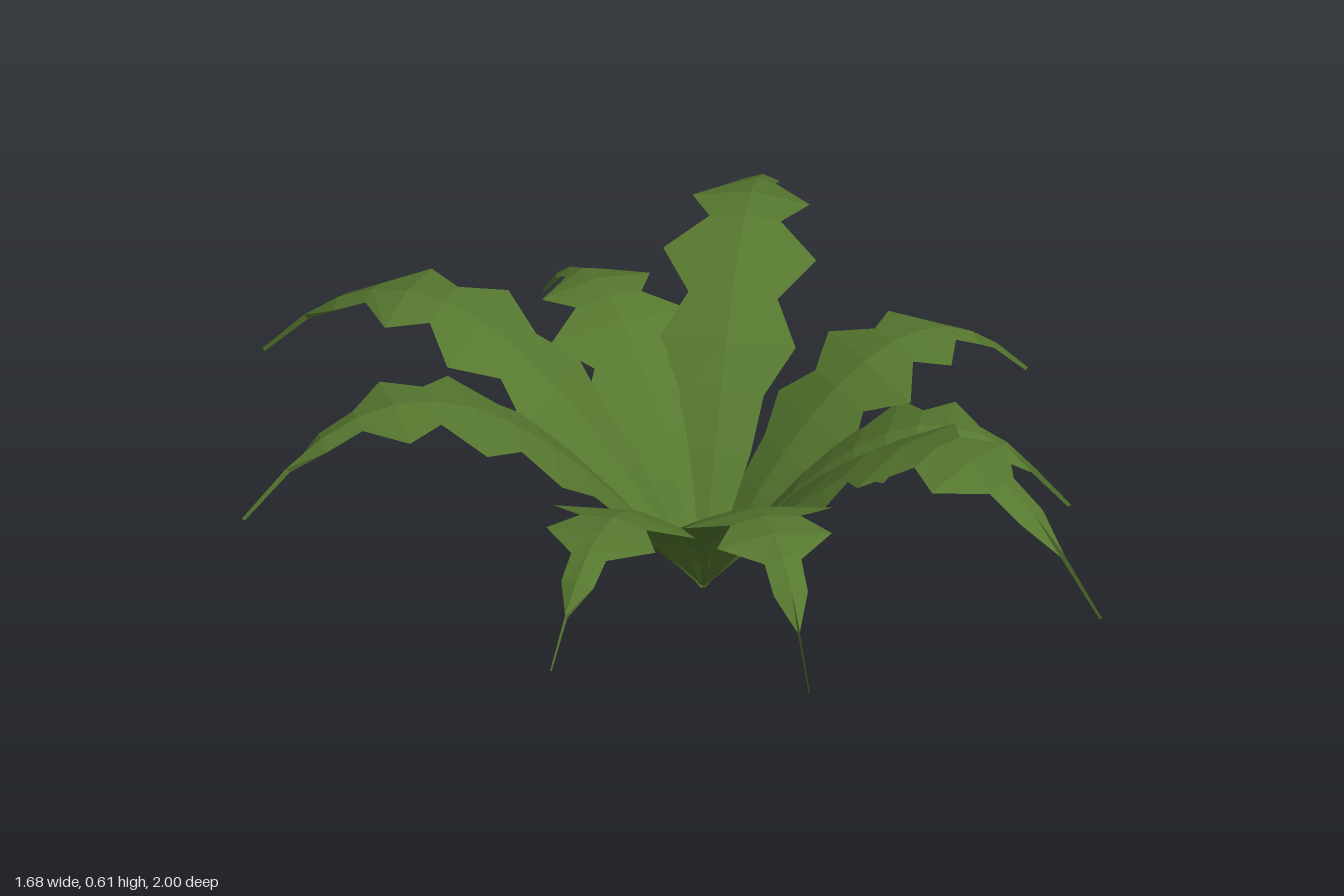
import * as THREE from 'three';

// Midrib rows for a leaf of reach 1: [distance out, height, half width, edge droop]
// Half widths are absolute, so short leaves are relatively broader.
const ROWS = [
  [0, 0, 0.008, 0.001],
  [0.09, 0.13, 0.045, 0.006],
  [0.17, 0.235, 0.075, 0.010],
  [0.25, 0.33, 0.09, 0.012],
  [0.33, 0.408, 0.145, 0.020],
  [0.41, 0.475, 0.095, 0.014],
  [0.5, 0.53, 0.163, 0.024],
  [0.585, 0.56, 0.076, 0.012],
  [0.67, 0.564, 0.125, 0.020],
  [0.752, 0.546, 0.04, 0.010],
  [0.83, 0.505, 0.037, 0.012],
  [0.905, 0.443, 0.002, 0.012],
  [1, 0.335, 0.001, 0.008],
];

const ROOT = new THREE.Vector3(0.045, 0, -0.075);

// Leaf tips on the ground plane: x, z
const TIPS = [
  [0.19, 1.0], [0.55, 0.52], [0.838, 0.08], [0.83, -0.69], [0.3, -0.84],
  [-0.36, -1.0], [-0.84, -0.55], [-0.7, 0.25], [-0.4, 0.73],
];

// A toothed, arching blade folded along its midrib
function leafGeometry(tipX, tipZ) {
  const out = new THREE.Vector3(tipX - ROOT.x, 0, tipZ - ROOT.z);
  const reach = out.length();
  out.normalize();
  const side = new THREE.Vector3(out.z, 0, -out.x);

  const positions = [];
  const index = [];
  ROWS.forEach(([s, h, width, droop], i) => {
    const a = ROWS[Math.max(i - 1, 0)];
    const b = ROWS[Math.min(i + 1, ROWS.length - 1)];
    const tangent = out.clone().multiplyScalar(b[0] - a[0]);
    tangent.y = b[1] - a[1];
    const normal = tangent.normalize().cross(side);
    const mid = ROOT.clone().addScaledVector(out, s * reach);
    mid.y = h * reach;
    for (const k of [-1, 0, 1]) {
      const p = mid.clone().addScaledVector(side, k * width);
      if (k !== 0) p.addScaledVector(normal, -droop);
      positions.push(p.x, Math.max(p.y, 0), p.z);
    }
    if (i === 0) return;
    for (const c of [0, 1]) {
      const p = (i - 1) * 3 + c;
      const q = p + 3;
      index.push(p, q, p + 1, p + 1, q, q + 1);
    }
  });

  const indexed = new THREE.BufferGeometry();
  indexed.setAttribute('position', new THREE.Float32BufferAttribute(positions, 3));
  indexed.setIndex(index);
  // Separate faces give the blade its faceted look
  const geometry = indexed.toNonIndexed();
  geometry.computeVertexNormals();
  return geometry;
}

export function createModel() {
  const plant = new THREE.Group();
  plant.name = 'plant';
  const leafGreen = new THREE.MeshStandardMaterial({ color: 0x56782f, side: THREE.DoubleSide });
  leafGreen.name = 'leaf green';

  // Rosette of leaves from one root point
  TIPS.forEach(([x, z], i) => {
    const leaf = new THREE.Mesh(leafGeometry(x, z), leafGreen);
    leaf.name = `leaf${i + 1}`;
    plant.add(leaf);
  });
  return plant;
}
